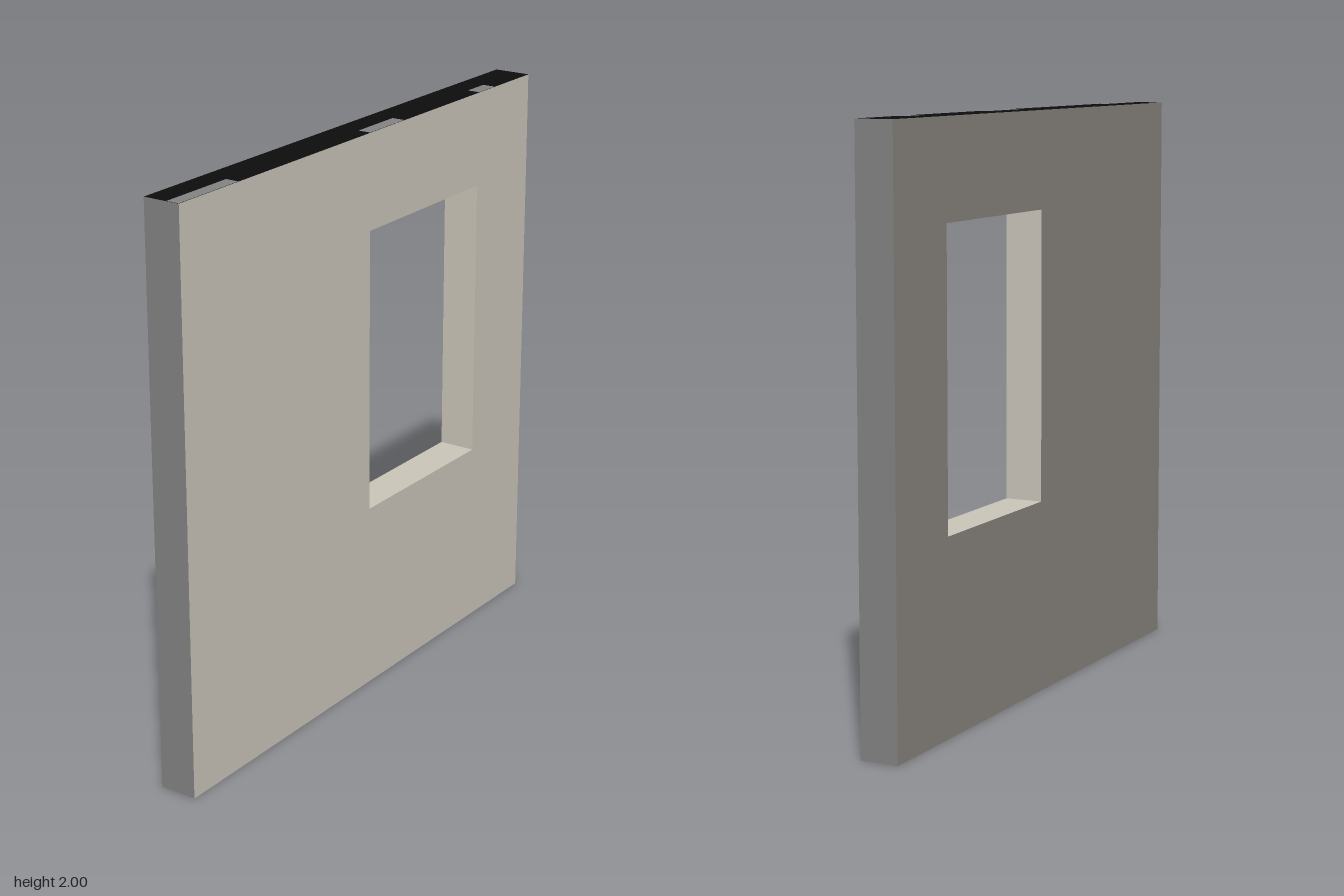
import * as THREE from 'three';

const T = 1 / 15; // half thickness of the wall
const WIN = { z0: -2 / 3, z1: 0, y0: 2 / 3, y1: 5 / 3 };

const mat = (name, color) => {
  const m = new THREE.MeshStandardMaterial({ color });
  m.name = name;
  return m;
};

export function createModel() {
  const beige = mat('beige plaster', 0xc9c4b8);
  const backGrey = mat('warm grey back', 0x898580);
  const grey = mat('grey edge', 0x828282);
  const black = mat('black top', 0x0d0d0d);

  const group = new THREE.Group();
  group.name = 'windowWall';

  const add = (name, geometry, material, x, y, z, rx = 0, ry = 0) => {
    const mesh = new THREE.Mesh(geometry, material);
    mesh.name = name;
    mesh.position.set(x, y, z);
    mesh.rotation.set(rx, ry, 0);
    group.add(mesh);
  };
  const plane = (w, h) => new THREE.PlaneGeometry(w, h);

  // Square wall face with the window opening spanning u0..u1
  const wallFace = (u0, u1) => {
    const shape = new THREE.Shape([[-1, 0], [1, 0], [1, 2], [-1, 2]].map(p => new THREE.Vector2(...p)));
    shape.holes.push(new THREE.Path(
      [[u0, WIN.y0], [u0, WIN.y1], [u1, WIN.y1], [u1, WIN.y0]].map(p => new THREE.Vector2(...p))));
    return new THREE.ShapeGeometry(shape);
  };
  add('leftWallFace', wallFace(-WIN.z1, -WIN.z0), beige, T, 0, 0, 0, Math.PI / 2);
  add('rightWallFace', wallFace(WIN.z0, WIN.z1), backGrey, -T, 0, 0, 0, -Math.PI / 2);

  // Outer edges
  add('frontEdge', plane(2 * T, 2), grey, 0, 1, 1);
  add('backEdge', plane(2 * T, 2), grey, 0, 1, -1, 0, Math.PI);
  add('topEdge', plane(2 * T, 2), black, 0, 2, 0, -Math.PI / 2);
  add('bottomEdge', plane(2 * T, 2), beige, 0, 0, 0, Math.PI / 2);

  // Window reveal
  const w = WIN.z1 - WIN.z0, h = WIN.y1 - WIN.y0;
  const zc = (WIN.z0 + WIN.z1) / 2, yc = (WIN.y0 + WIN.y1) / 2;
  add('windowSill', plane(2 * T, w), beige, 0, WIN.y0, zc, -Math.PI / 2);
  add('windowHead', plane(2 * T, w), beige, 0, WIN.y1, zc, Math.PI / 2);
  add('backJamb', plane(2 * T, h), beige, 0, yc, WIN.z0);
  add('frontJamb', plane(2 * T, h), beige, 0, yc, WIN.z1, 0, Math.PI);

  // Grey patches along the top edge
  for (const [z0, z1] of [[-0.77, -0.67], [-0.2, 0], [0.71, 1]]) {
    add('topPatch', plane(T - 0.02, z1 - z0), grey, (T + 0.02) / 2, 2.001, (z0 + z1) / 2, -Math.PI / 2);
  }
  return group;
}
